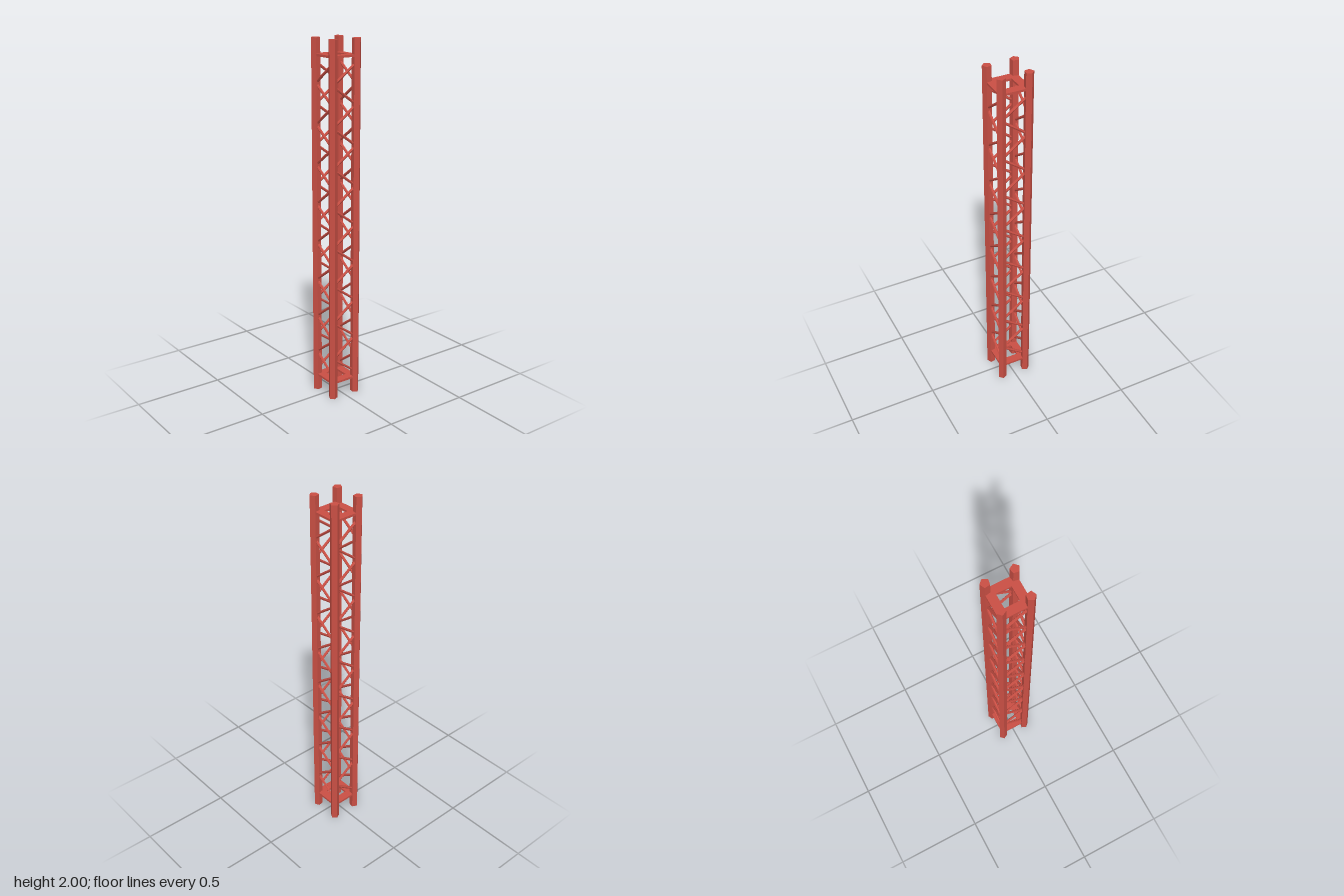
import * as THREE from 'three';

export function createModel() {
  const model = new THREE.Group();
  model.name = 'latticeTower';
  const red = new THREE.MeshStandardMaterial({ color: 0xc94f44, flatShading: true });
  red.name = 'red paint';

  const height = 2, corner = 0.0757, steps = 16, rise = 0.1093;

  const add = (parent, geometry, name) => {
    const mesh = new THREE.Mesh(geometry, red);
    mesh.name = name;
    parent.add(mesh);
    return mesh;
  };

  // Round bar with few sides between two points
  const bar = (parent, a, b, radius, name) => {
    const dir = b.clone().sub(a);
    const mesh = add(parent, new THREE.CylinderGeometry(radius, radius, dir.length(), 6), name);
    mesh.position.copy(a).add(b).multiplyScalar(0.5);
    mesh.quaternion.setFromUnitVectors(new THREE.Vector3(0, 1, 0), dir.normalize());
  };

  // Four identical sides, each with a post and a zigzag of braces
  for (let i = 0; i < 4; i++) {
    const side = new THREE.Group();
    side.name = 'side';
    side.rotation.y = (i * Math.PI) / 2;
    model.add(side);

    // Five-sided post, one edge pointing to the tower's centre
    const post = add(side, new THREE.CylinderGeometry(0.025, 0.025, height, 5), 'post');
    post.position.set(corner, height / 2, corner);
    post.rotation.y = (-3 * Math.PI) / 4;

    // Zigzag from the top right to the bottom
    const top = 1 + (steps * rise) / 2;
    const node = (k) => new THREE.Vector3(k % 2 ? -corner : corner, top - k * rise, corner);
    for (let k = 0; k < steps; k++) bar(side, node(k), node(k + 1), 0.0075, 'brace');
  }

  // Square frames with an open middle near both ends
  const square = (path, r) => path.moveTo(-r, -r).lineTo(r, -r).lineTo(r, r).lineTo(-r, r).closePath();
  const outline = square(new THREE.Shape(), 0.0865);
  outline.holes.push(square(new THREE.Path(), 0.04));
  const frame = new THREE.ExtrudeGeometry(outline, { depth: 0.012, bevelEnabled: false });
  frame.translate(0, 0, -0.006).rotateX(-Math.PI / 2);
  add(model, frame, 'topFrame').position.y = 1.911;
  add(model, frame, 'bottomFrame').position.y = 0.092;

  return model;
}
